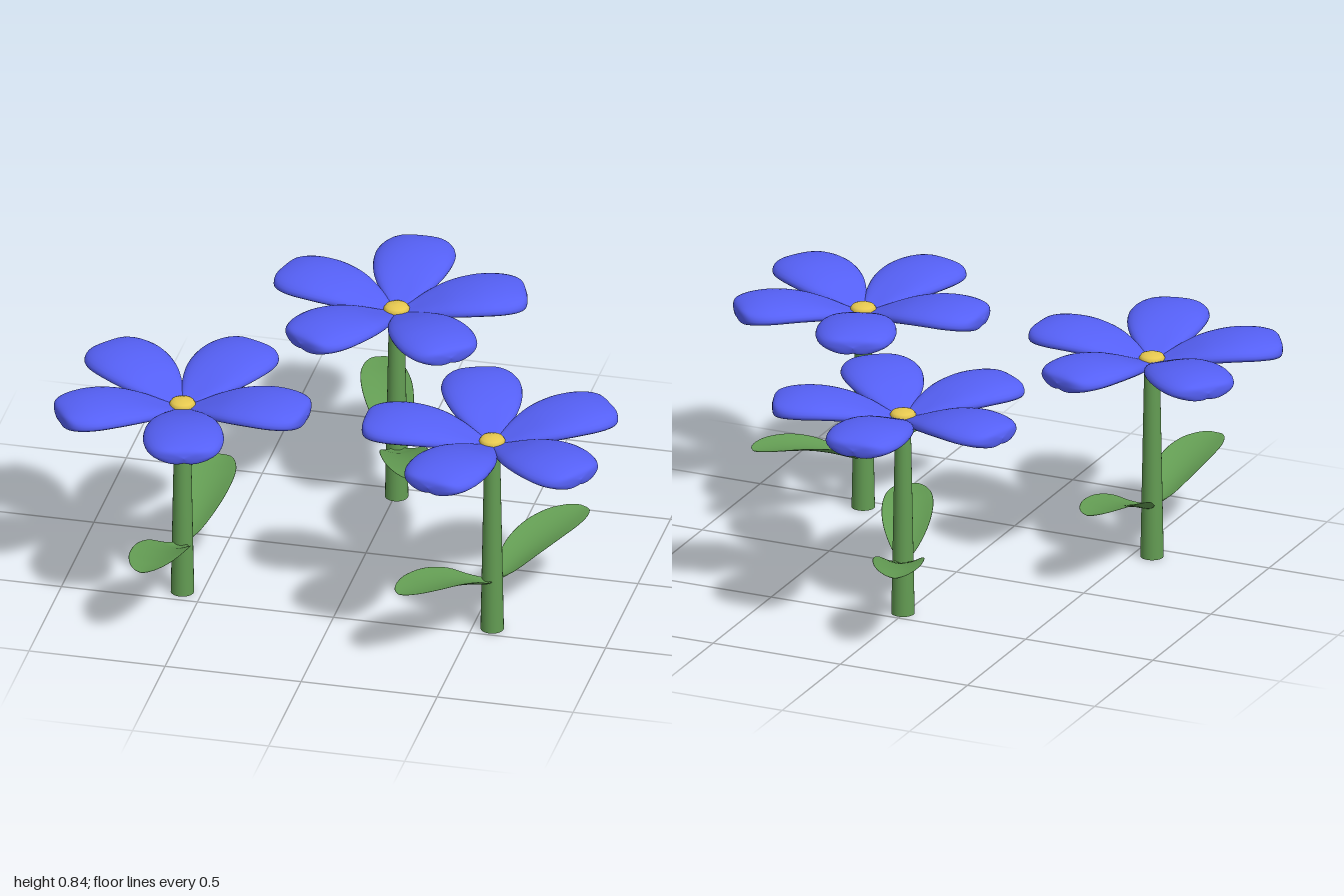
import * as THREE from 'three';

const blue = new THREE.MeshStandardMaterial({ color: 0x5560f5 });
const green = new THREE.MeshStandardMaterial({ color: 0x639c53 });
const yellow = new THREE.MeshStandardMaterial({ color: 0xe6c84f });

// Closed blade running along +x. Each station: [distance, half width, top y, edge y, underside y]
// lip: how far the underside bulges down just inside the rim, relative to the half width
function bladeGeometry(stations, lip, steps = 40, ring = 32) {
  const spline = (pick) => new THREE.CatmullRomCurve3(
    stations.map((s) => new THREE.Vector3(...pick(s))), false, 'catmullrom', 0.5);
  const outline = spline((s) => [s[0], s[1], 0]);
  const heights = spline((s) => [s[2], s[3], s[4]]);
  const pos = [], idx = [];
  for (let i = 0; i <= steps; i++) {
    const o = outline.getPoint(i / steps), h = heights.getPoint(i / steps);
    const w = Math.max(o.y, 0);
    for (let j = 0; j < ring; j++) {
      const a = (j / ring) * Math.PI * 2, s = Math.sin(a), c = Math.cos(a);
      const rise = s > 0 ? (h.x - h.z) * s : 2 * lip * w * s * Math.abs(c);
      pos.push(o.x, h.y + (h.z - h.y) * s * s + rise, w * c);
      if (i < steps) {
        const k = i * ring + j, n = i * ring + (j + 1) % ring;
        idx.push(k, k + ring, n, n, k + ring, n + ring);
      }
    }
  }
  const g = new THREE.BufferGeometry();
  g.setAttribute('position', new THREE.Float32BufferAttribute(pos, 3));
  g.setIndex(idx);
  g.computeVertexNormals();
  return g;
}

// Petal: narrow root, broad domed end with a thick rounded rim
const petalGeo = bladeGeometry([
  [0.0, 0.015, 0.745, 0.738, 0.728],
  [0.05, 0.043, 0.763, 0.75, 0.732],
  [0.12, 0.088, 0.792, 0.769, 0.75],
  [0.2, 0.124, 0.82, 0.785, 0.773],
  [0.29, 0.143, 0.837, 0.793, 0.788],
  [0.37, 0.141, 0.839, 0.792, 0.788],
  [0.43, 0.118, 0.829, 0.789, 0.775],
  [0.46, 0.076, 0.814, 0.788, 0.765],
  [0.47, 0.0, 0.79, 0.788, 0.786],
], 0.13);

// Leaf: thin, arching outwards, cupped like a shallow spoon
const leafGeo = bladeGeometry([
  [0.02, 0.022, 0.2, 0.203, 0.188],
  [0.07, 0.05, 0.216, 0.227, 0.207],
  [0.15, 0.08, 0.25, 0.272, 0.241],
  [0.25, 0.092, 0.283, 0.304, 0.275],
  [0.35, 0.084, 0.305, 0.318, 0.297],
  [0.42, 0.06, 0.313, 0.32, 0.306],
  [0.46, 0.03, 0.316, 0.318, 0.311],
  [0.472, 0.0, 0.315, 0.315, 0.314],
], 0);

// Stem: solid tapered rod
const stemGeo = new THREE.CylinderGeometry(0.028, 0.042, 0.74, 24);
stemGeo.translate(0, 0.37, 0);

// Flower centre: flat underside, low dome above
const centreGeo = new THREE.LatheGeometry([
  [0, 0.73], [0.04, 0.73], [0.046, 0.74], [0.047, 0.762],
  [0.04, 0.773], [0.024, 0.779], [0, 0.781],
].map(([r, y]) => new THREE.Vector2(r, y)), 20);

function makeFlower(x, z, petalAngle, leafAngle) {
  const flower = new THREE.Group();
  flower.name = 'flower';
  flower.position.set(x, 0, z);
  const add = (name, geo, mat, degrees = 0) => {
    const mesh = new THREE.Mesh(geo, mat);
    mesh.name = name;
    mesh.rotation.y = THREE.MathUtils.degToRad(degrees);
    flower.add(mesh);
  };
  add('stem', stemGeo, green);
  add('flowerCentre', centreGeo, yellow);
  for (let i = 0; i < 5; i++) add('petal', petalGeo, blue, petalAngle + i * 72);
  for (let i = 0; i < 2; i++) add('leaf', leafGeo, green, leafAngle + i * 180);
  return flower;
}

export function createModel() {
  const model = new THREE.Group();
  model.name = 'flowers';
  model.add(
    makeFlower(0.007, -0.445, 92, 111),
    makeFlower(-0.571, 0.433, -4, 85),
    makeFlower(0.571, 0.448, 182, 58),
  );
  return model;
}
